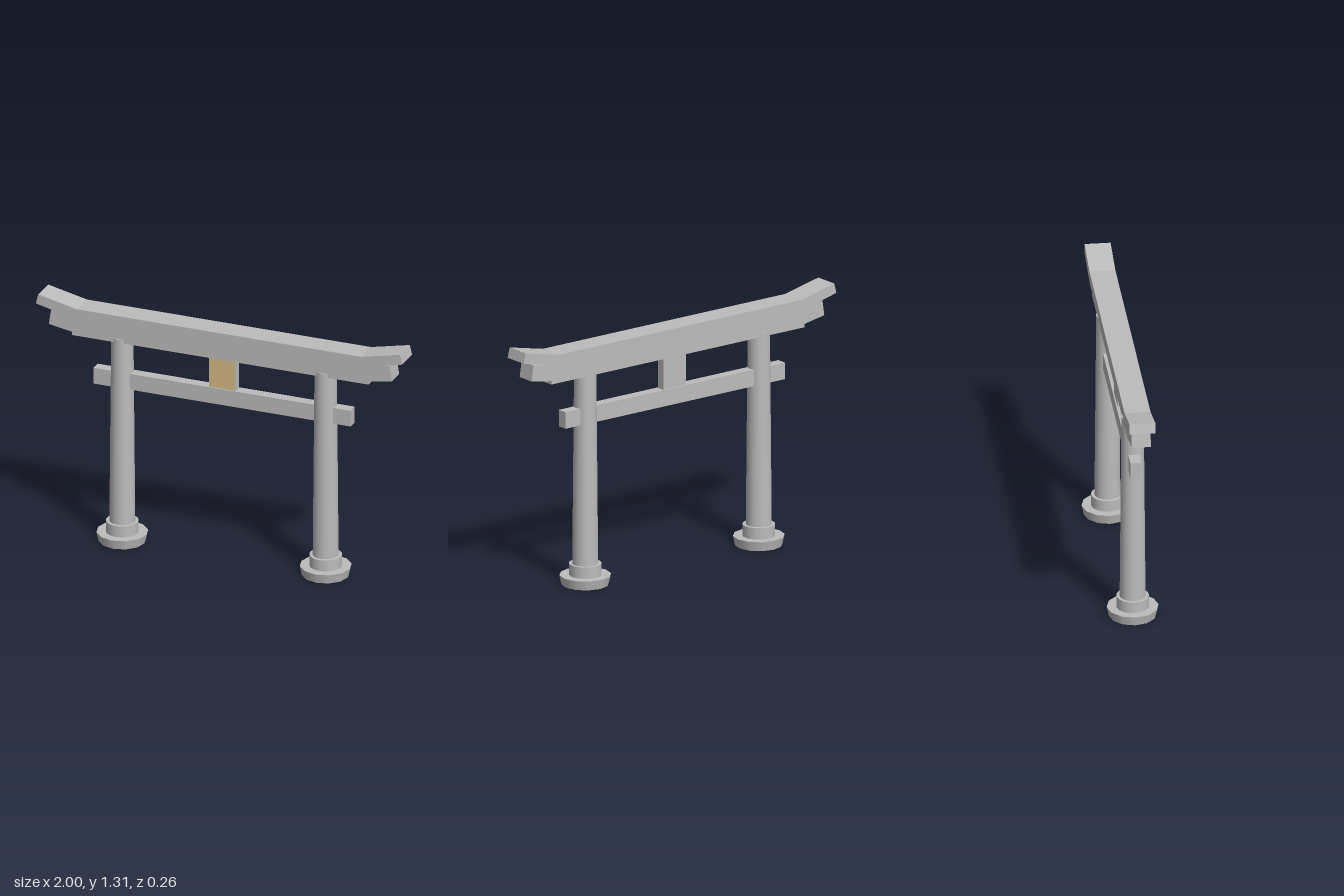
import * as THREE from 'three';

const stone = new THREE.MeshStandardMaterial({ color: 0xbcbcbc });
stone.name = 'stone grey';
const gold = new THREE.MeshStandardMaterial({ color: 0xd6bb85 });
gold.name = 'pale gold';

function add(parent, name, geometry, material, x, y, z) {
  const mesh = new THREE.Mesh(geometry, material);
  mesh.name = name;
  mesh.position.set(x, y, z);
  parent.add(mesh);
  return mesh;
}

// Beam with a mirrored side outline: points run along the right half, bottom to top
function beamGeometry(half, depth) {
  const left = half.map(([x, y]) => [-x, y]).reverse();
  const shape = new THREE.Shape([...half, ...left].map(([x, y]) => new THREE.Vector2(x, y)));
  return new THREE.ExtrudeGeometry(shape, { depth, bevelEnabled: false }).translate(0, 0, -depth / 2);
}

// Round section standing between two heights
function drum(bottomRadius, topRadius, y0, y1, sides) {
  return new THREE.CylinderGeometry(topRadius, bottomRadius, y1 - y0, sides).translate(0, (y0 + y1) / 2, 0);
}

export function createModel() {
  const gate = new THREE.Group();
  gate.name = 'gate';

  // Posts: splayed foot, collar and tapering column
  for (const side of [1, -1]) {
    const post = new THREE.Group();
    post.name = side > 0 ? 'leftPost' : 'rightPost';
    post.position.x = side * 0.555;
    add(post, 'foot', drum(0.121, 0.132, 0, 0.05, 12), stone, 0, 0, 0);
    add(post, 'collar', drum(0.083, 0.083, 0.05, 0.11, 24), stone, 0, 0, 0);
    add(post, 'column', drum(0.066, 0.057, 0.11, 1.13, 24), stone, 0, 0, 0);
    gate.add(post);
  }

  // Tie beam passing through both posts
  add(gate, 'tieBeam', new THREE.BoxGeometry(1.404, 0.087, 0.056), stone, 0, 0.895, 0);

  // Lower lintel with stepped, raised ends
  add(gate, 'lowerLintel', beamGeometry([
    [0.81, 1.11], [0.81, 1.128], [0.936, 1.15], [0.924, 1.232], [0.757, 1.205],
  ], 0.098), stone, 0, 0, 0);

  // Top lintel with upswept tips
  add(gate, 'topLintel', beamGeometry([
    [0.765, 1.205], [1.0, 1.26], [0.987, 1.312], [0.775, 1.265],
  ], 0.132), stone, 0, 0, 0);

  // Centre strut with its gilded tablet on the front
  add(gate, 'centreStrut', new THREE.BoxGeometry(0.146, 0.176, 0.044), stone, 0, 1.024, 0);
  add(gate, 'tablet', new THREE.BoxGeometry(0.136, 0.164, 0.006), gold, 0, 1.024, 0.025);

  return gate;
}
